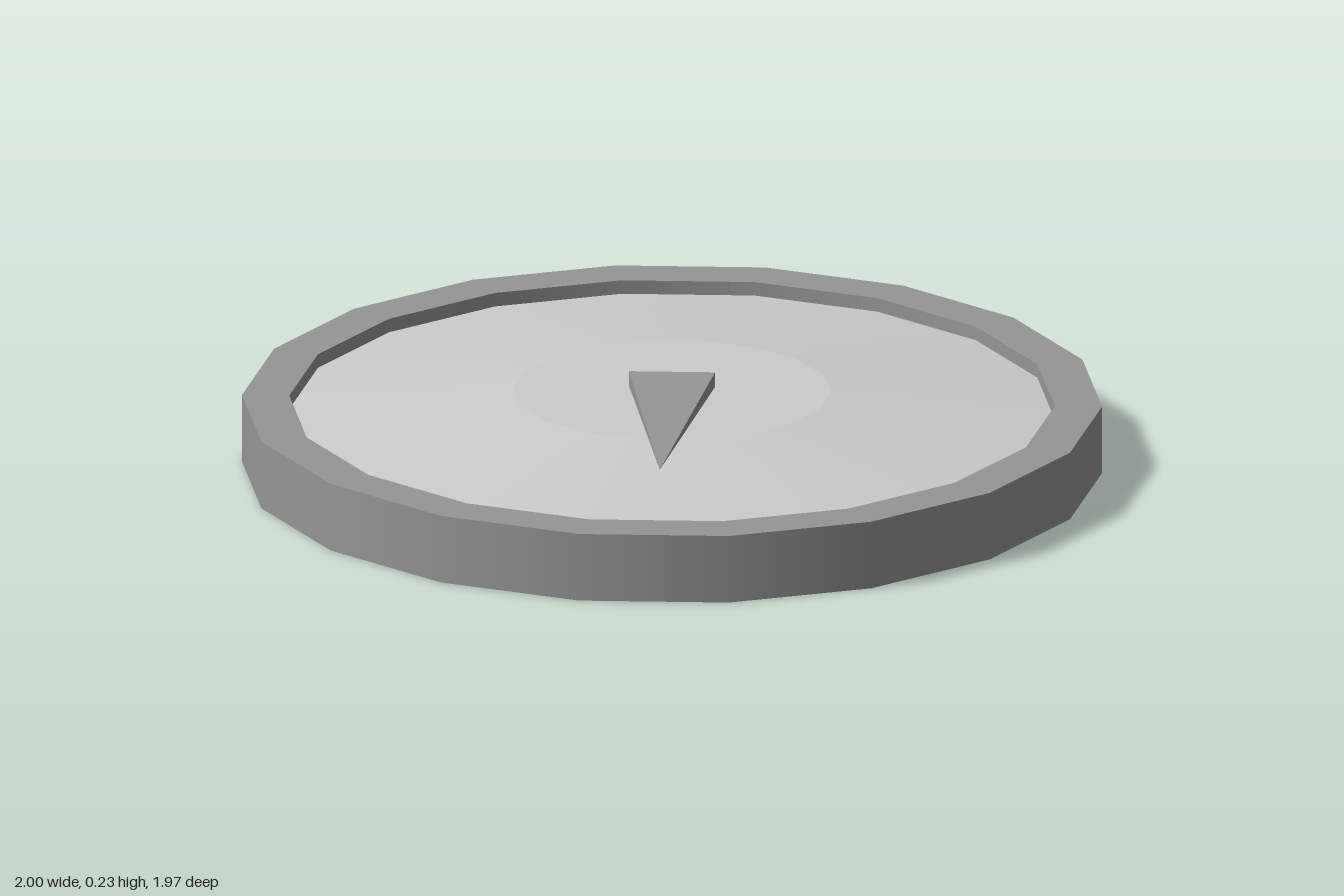
import * as THREE from 'three';
import { mergeGeometries } from 'three/addons/utils/BufferGeometryUtils.js';

const SIDES = 18;

// One lathe per profile segment: smooth around, sharp between segments
function turned(profile) {
  const strips = [];
  for (let i = 0; i < profile.length - 1; i++) {
    const pair = [profile[i], profile[i + 1]].map(([r, y]) => new THREE.Vector2(r, y));
    strips.push(new THREE.LatheGeometry(pair, SIDES, Math.PI / 2));
  }
  return mergeGeometries(strips);
}

export function createModel() {
  const model = new THREE.Group();
  model.name = 'dial';

  const add = (name, geometry, options) => {
    const mesh = new THREE.Mesh(geometry, new THREE.MeshStandardMaterial(options));
    mesh.name = name;
    model.add(mesh);
    return mesh;
  };

  // Closed base, outer wall, rim top and short inner wall
  add('caseRim', turned([[0, 0], [1, 0], [1, 0.163], [0.89, 0.163], [0.89, 0.13]]), { color: 0x969696 });

  // Sloped face rising to a flat centre
  add('dialFace', turned([[0.89, 0.13], [0.37, 0.188], [0, 0.188]]), { color: 0xcccccc });

  // Pointer: a flattened four-sided pyramid with its tip towards the front
  const pointer = new THREE.ConeGeometry(Math.SQRT1_2, 1, 4);
  pointer.rotateY(Math.PI / 4);
  pointer.translate(0, 0.5, 0);
  pointer.rotateX(Math.PI / 2);
  pointer.scale(0.2, 0.036, 0.665);
  add('pointer', pointer, { color: 0x969696, flatShading: true }).position.y = 0.216;

  return model;
}
